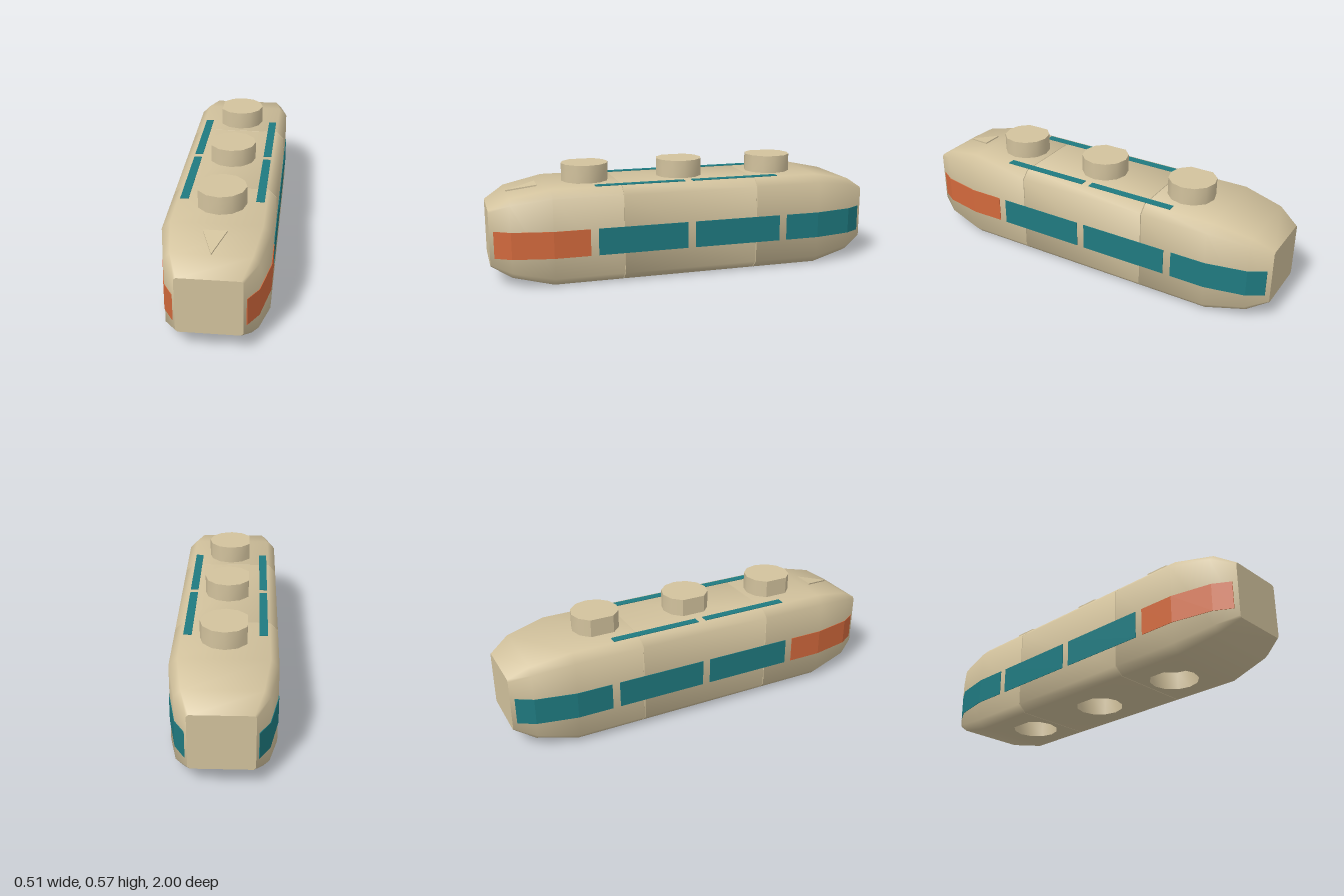
import * as THREE from 'three';
import { toCreasedNormals } from 'three/addons/utils/BufferGeometryUtils.js';

const TAN = 0xd2c29d, TEAL = 0x1f7a80, ORANGE = 0xd2693c;
const STUD_R = 0.12, STUD_H = 0.09, FLAT_X = -STUD_R * Math.cos(Math.PI / 6);
const STUD_Z = [-0.5, 0, 0.5];

const material = (color, side = THREE.FrontSide) => new THREE.MeshStandardMaterial({ color, side });

function add(group, name, geometry, mat) {
  const mesh = new THREE.Mesh(geometry, mat);
  mesh.name = name;
  group.add(mesh);
  return mesh;
}

// Octagonal cross-section: half width, bottom, top, chamfer
function octagon(h, y0, y1, c) {
  const right = [[h - c, y0], [h, y0 + c], [h, y1 - c], [h - c, y1]];
  return [...right, ...right.map(([x, y]) => [-x, y]).reverse()];
}

// Round outline with one flattened side (-x)
function flattenSide(geometry) {
  const p = geometry.attributes.position;
  for (let i = 0; i < p.count; i++) p.setX(i, Math.max(p.getX(i), FLAT_X));
  return toCreasedNormals(geometry, 0.6);
}

function bodyGeometry() {
  // Half profile from the middle to one end, with a narrow seam at z = 0.35
  const g = 0.004;
  const half = [
    [0.348, 0.25, 0, 0.48, 0.04],
    [0.35, 0.25 - g, g, 0.48 - g, 0.04],
    [0.352, 0.25, 0, 0.48, 0.04],
    [0.7, 0.25, 0, 0.48, 0.04],
    [0.9, 0.21, 0.045, 0.44, 0.03],
    [1, 0.15, 0.1, 0.38, 0.01],
  ];
  const sections = [...half.map(([z, ...s]) => [-z, ...s]).reverse(), ...half];
  const rings = sections.map(([z, ...s]) => octagon(...s).map(([x, y]) => [x, y, z]));
  const pos = [];
  const tri = (a, b, c) => pos.push(...a, ...b, ...c);

  for (let i = 0; i < rings.length - 1; i++) {
    const a = rings[i], b = rings[i + 1], z0 = a[0][2], z1 = b[0][2];
    for (let j = 0; j < 8; j++) {
      const k = (j + 1) % 8;
      const pierced = j === 7 && z1 - z0 > 0.25;
      if (!pierced) {
        tri(a[j], a[k], b[k]);
        tri(a[j], b[k], b[j]);
        continue;
      }
      // Underside plate with a socket opening
      const plate = new THREE.Shape([[-0.21, z0], [0.21, z0], [0.21, z1], [-0.21, z1]]
        .map(([x, z]) => new THREE.Vector2(x, z)));
      const centre = STUD_Z.find((z) => z > z0 && z < z1);
      const hole = [];
      for (let n = 0; n < 12; n++) {
        const t = (n * Math.PI) / 6;
        hole.push(new THREE.Vector2(Math.max(STUD_R * Math.cos(t), FLAT_X), centre + STUD_R * Math.sin(t)));
      }
      plate.holes.push(new THREE.Path(hole));
      const flat = new THREE.ShapeGeometry(plate).rotateX(Math.PI / 2).toNonIndexed();
      pos.push(...flat.attributes.position.array);
    }
  }

  // End faces
  const back = rings[0], front = rings[rings.length - 1];
  for (let j = 1; j < 7; j++) {
    tri(front[0], front[j], front[j + 1]);
    tri(back[0], back[j + 1], back[j]);
  }
  const geo = new THREE.BufferGeometry();
  geo.setAttribute('position', new THREE.Float32BufferAttribute(pos, 3));
  return toCreasedNormals(geo, 0.9);
}

// Half width of the body at a given z
function halfWidth(z) {
  const a = Math.abs(z);
  if (a <= 0.7) return 0.25;
  return a <= 0.9 ? 0.25 - (a - 0.7) * 0.2 : 0.21 - (a - 0.9) * 0.6;
}

// Side panel that follows the curve of the body between z0 and z1
function panelGeometry(side, z0, z1) {
  const zs = [z0, ...[-0.9, -0.7, 0.7, 0.9].filter((z) => z > z0 && z < z1), z1];
  const edge = (offset) => zs.map((z) => new THREE.Vector2(side * (halfWidth(z) + offset), -z));
  const shape = new THREE.Shape([...edge(0.003), ...edge(-0.01).reverse()]);
  return new THREE.ExtrudeGeometry(shape, { depth: 0.135, bevelEnabled: false })
    .rotateX(-Math.PI / 2).translate(0, 0.145, 0);
}

export function createModel() {
  const model = new THREE.Group();
  model.name = 'toyCarriage';
  const tan = material(TAN), teal = material(TEAL), orange = material(ORANGE);
  const inside = material(TAN, THREE.DoubleSide);

  add(model, 'body', bodyGeometry(), tan);

  // Studs on the roof and matching sockets below
  for (const z of STUD_Z) {
    const stud = flattenSide(new THREE.CylinderGeometry(STUD_R, STUD_R, STUD_H + 0.01, 12));
    add(model, 'stud', stud, tan).position.set(0, 0.475 + STUD_H / 2, z);

    const wall = flattenSide(new THREE.CylinderGeometry(STUD_R, STUD_R, STUD_H, 12, 1, true));
    add(model, 'socketWall', wall, inside).position.set(0, STUD_H / 2, z);

    const ceiling = flattenSide(new THREE.CircleGeometry(STUD_R, 12).rotateX(Math.PI / 2));
    add(model, 'socketCeiling', ceiling, inside).position.set(0, STUD_H, z);
  }

  for (const side of [-1, 1]) {
    // Side windows, with an orange panel at the front
    for (let i = 0; i < 4; i++) {
      const z0 = -0.98 + i * 0.5;
      const isFront = i === 3;
      add(model, isFront ? 'frontSidePanel' : 'sideWindow',
        panelGeometry(side, z0, z0 + 0.46), isFront ? orange : teal);
    }
    // Roof strips
    for (const z of [-0.25, 0.25]) {
      add(model, 'roofStrip', new THREE.BoxGeometry(0.04, 0.012, 0.46), teal)
        .position.set(side * 0.18, 0.477, z);
    }
  }

  // Direction arrow on the sloping front of the roof
  const arrow = new THREE.Shape([[-0.055, 0], [0, -0.153], [0.055, 0]]
    .map(([x, y]) => new THREE.Vector2(x, y)));
  const arrowMesh = add(model, 'directionArrow',
    new THREE.ExtrudeGeometry(arrow, { depth: 0.012, bevelEnabled: false })
      .rotateX(-Math.PI / 2).translate(0, -0.006, 0), tan);
  arrowMesh.position.set(0, 0.471, 0.75);
  arrowMesh.rotation.x = Math.atan(0.2);

  return model;
}
